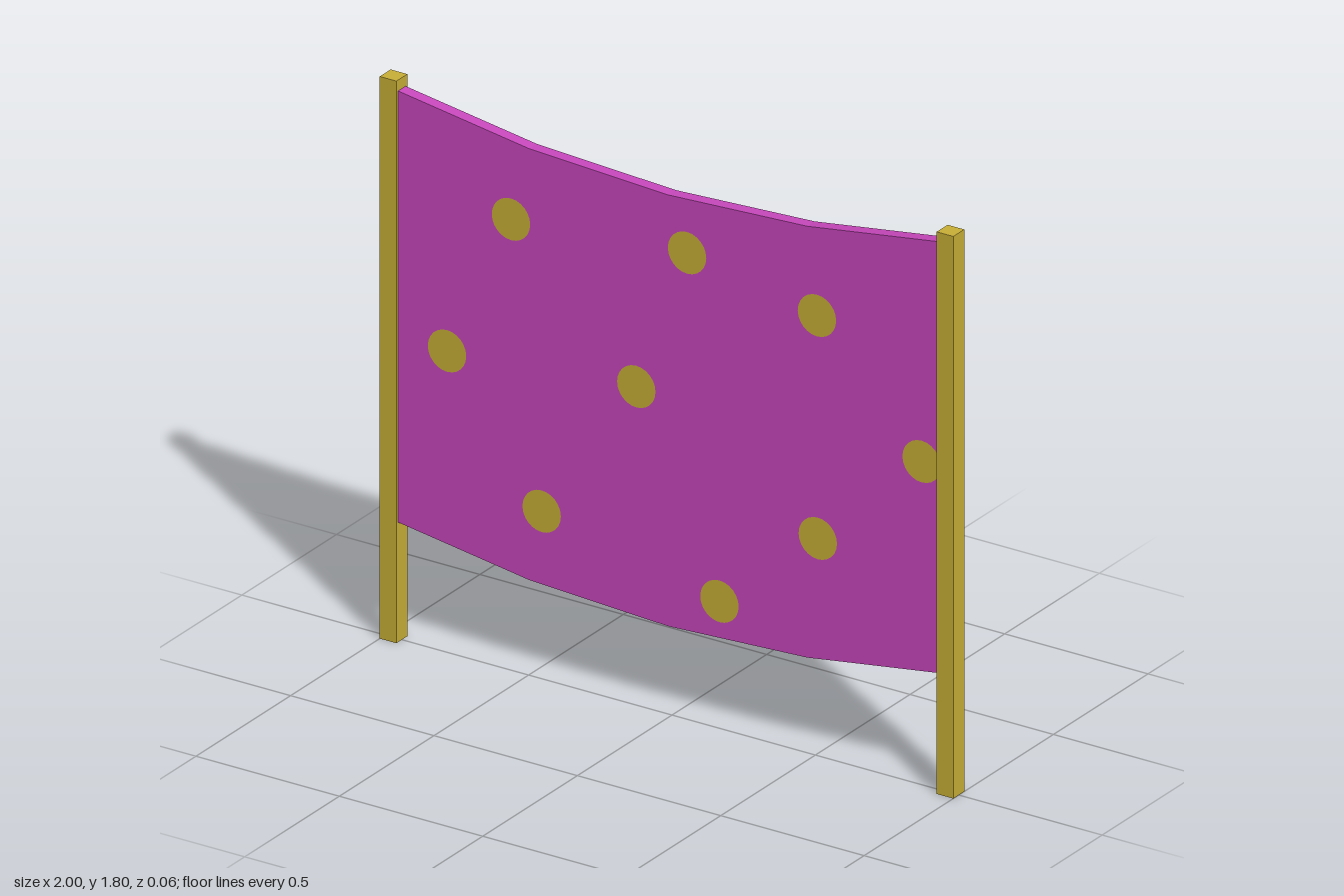
import * as THREE from 'three';

export function createModel() {
  const model = new THREE.Group();
  model.name = 'banner';
  const gold = new THREE.MeshStandardMaterial({ name: 'gold', color: 0xc9b037 });
  const magenta = new THREE.MeshStandardMaterial({ name: 'magenta', color: 0xc948be });

  const add = (parent, name, geometry, material, x = 0, y = 0, z = 0) => {
    const mesh = new THREE.Mesh(geometry, material);
    mesh.name = name;
    mesh.position.set(x, y, z);
    parent.add(mesh);
    return mesh;
  };

  // Two square posts
  const postW = 0.058, postH = 1.805;
  const postGeo = new THREE.BoxGeometry(postW, postH, postW);
  for (const [name, s] of [['leftPost', 1], ['rightPost', -1]]) {
    add(model, name, postGeo, gold, s * (1 - postW / 2), postH / 2);
  }

  // Sagging cloth, its ends tucked into the posts
  const depth = 0.04, drop = 1.385;
  const topEdge = [[-0.97, 1.774], [-0.485, 1.702], [0, 1.678], [0.485, 1.702], [0.97, 1.774]];
  const outline = [...topEdge, ...topEdge.map(([x, y]) => [x, y - drop]).reverse()];
  const shape = new THREE.Shape(outline.map(([x, y]) => new THREE.Vector2(x, y)));
  const clothGeo = new THREE.ExtrudeGeometry(shape, { depth, bevelEnabled: false });
  add(model, 'cloth', clothGeo, magenta, 0, 0, -depth / 2);

  // Round spots, repeated on the back by a half turn
  const spots = [
    [-0.547, 1.46], [0.067, 1.51], [0.52, 1.425],
    [-0.77, 0.98], [-0.11, 1.035], [0.885, 1.05],
    [-0.44, 0.55], [0.18, 0.42], [0.523, 0.71],
  ];
  const spotGeo = new THREE.CircleGeometry(0.067, 24);
  for (const [name, turn] of [['frontSpots', 0], ['backSpots', Math.PI]]) {
    const side = new THREE.Group();
    side.name = name;
    side.rotation.y = turn;
    for (const [x, y] of spots) add(side, 'spot', spotGeo, gold, x, y, depth / 2 + 0.002);
    model.add(side);
  }

  return model;
}
